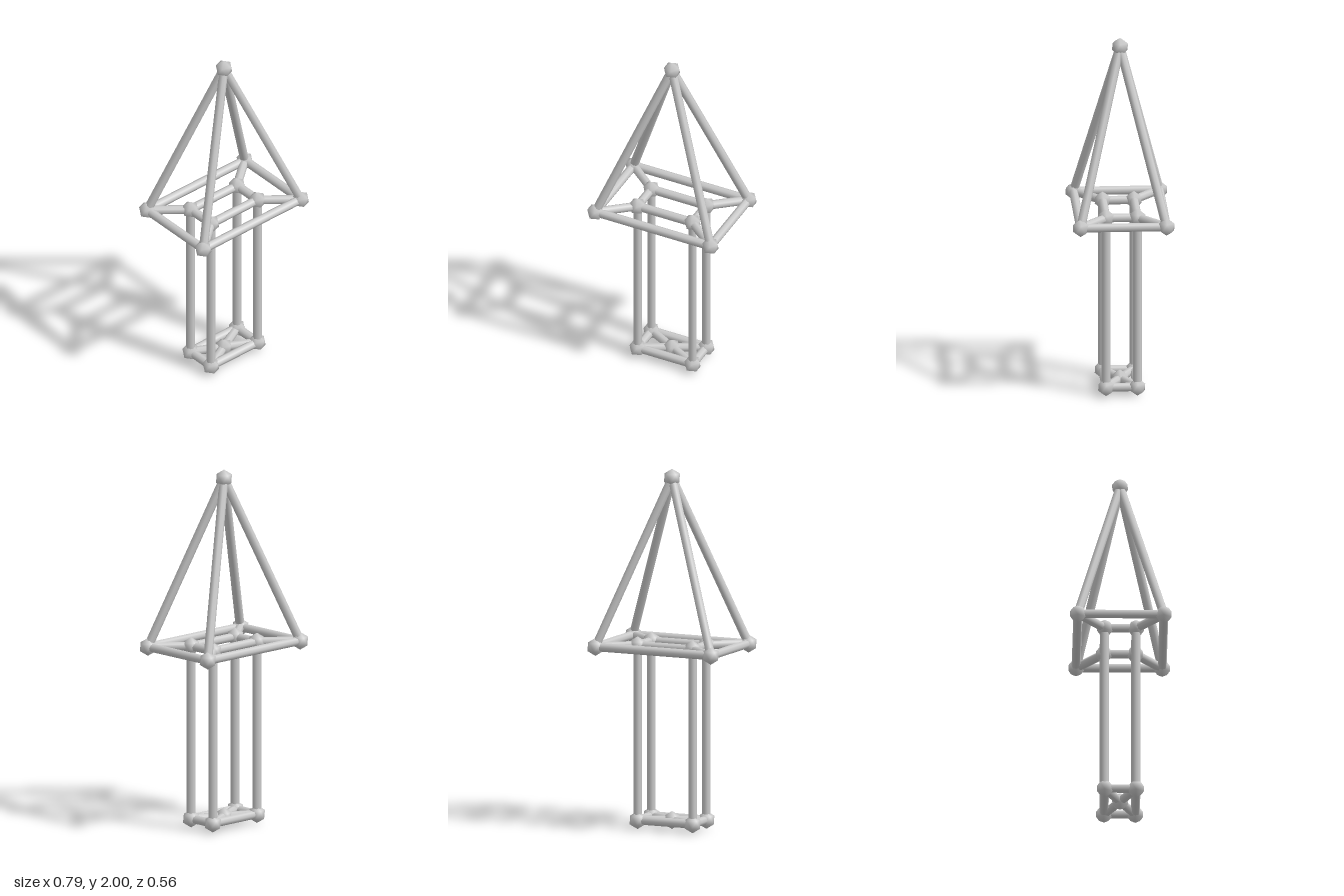
import * as THREE from 'three';

export function createModel() {
  const model = new THREE.Group();
  const material = new THREE.MeshStandardMaterial({ color: 0xcccccc });
  const up = new THREE.Vector3(0, 1, 0);

  // Joint: smooth-shaded icosahedron standing on one of its points
  const jointGeometry = new THREE.IcosahedronGeometry(0.05, 0);
  jointGeometry.rotateZ(-Math.atan(2 / (1 + Math.sqrt(5))));
  const pos = jointGeometry.attributes.position;
  const normal = new THREE.Vector3();
  for (let i = 0; i < pos.count; i++) {
    normal.fromBufferAttribute(pos, i).normalize();
    jointGeometry.attributes.normal.setXYZ(i, normal.x, normal.y, normal.z);
  }

  function joint(name, p) {
    const mesh = new THREE.Mesh(jointGeometry, material);
    mesh.name = name;
    mesh.position.copy(p);
    model.add(mesh);
  }

  // Bar: round rod running from joint a to joint b
  function bar(name, a, b) {
    const dir = b.clone().sub(a);
    const geometry = new THREE.CylinderGeometry(0.0245, 0.0245, dir.length(), 8);
    const mesh = new THREE.Mesh(geometry, material);
    mesh.name = name;
    mesh.position.copy(a).add(b).multiplyScalar(0.5);
    mesh.quaternion.setFromUnitVectors(up, dir.normalize());
    model.add(mesh);
  }

  // Four corners of a level rectangle, in order around it
  const rectangle = (x, y, z) =>
    [[1, 1], [1, -1], [-1, -1], [-1, 1]].map(([sx, sz]) => new THREE.Vector3(sx * x, y, sz * z));

  const apex = new THREE.Vector3(0, 1.95, 0);
  const baseCentre = new THREE.Vector3(0, 0.05, 0);
  const eaves = rectangle(0.352, 1.02, 0.236);
  const shaftTop = rectangle(0.168, 1.02, 0.086);
  const shaftBase = rectangle(0.168, 0.05, 0.086);

  joint('apexJoint', apex);
  joint('baseCentreJoint', baseCentre);

  for (let i = 0; i < 4; i++) {
    const next = (i + 1) % 4;
    joint('eavesJoint', eaves[i]);
    joint('shaftTopJoint', shaftTop[i]);
    joint('shaftBaseJoint', shaftBase[i]);

    // Rectangular rings
    bar('eavesBar', eaves[i], eaves[next]);
    bar('shaftTopBar', shaftTop[i], shaftTop[next]);
    bar('shaftBaseBar', shaftBase[i], shaftBase[next]);

    // Pyramid edges, shoulder struts, uprights and base spokes
    bar('pyramidEdge', eaves[i], apex);
    bar('shoulderStrut', shaftTop[i], eaves[i]);
    bar('upright', shaftBase[i], shaftTop[i]);
    bar('baseSpoke', baseCentre, shaftBase[i]);
  }

  return model;
}
